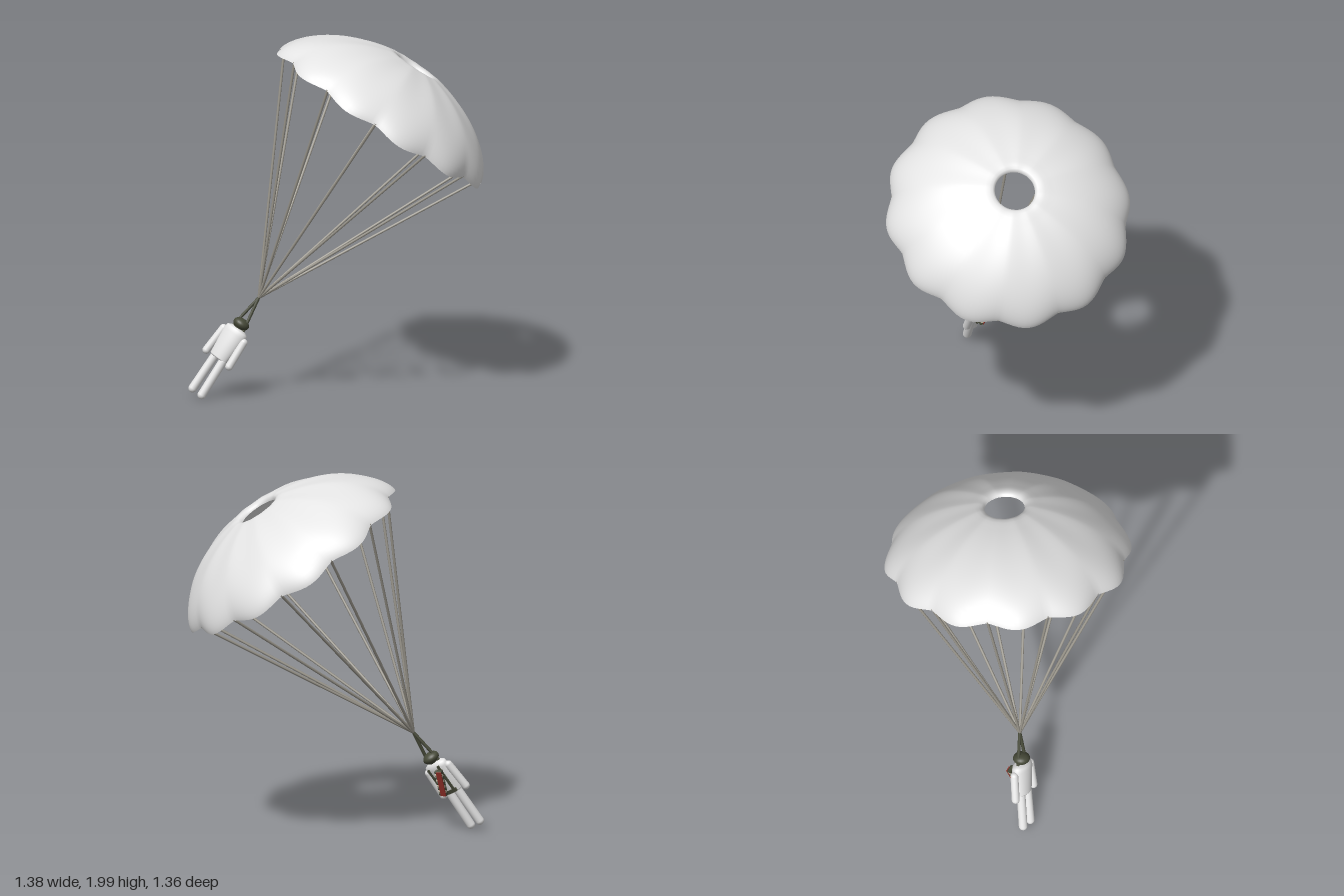
import * as THREE from 'three';
import { mergeVertices } from 'three/addons/utils/BufferGeometryUtils.js';

const GORES = 12;
const RIM_Y = 1.205; // rim height above the point where the lines meet
const RIM_R = 0.645;
const FIRST = THREE.MathUtils.degToRad(5);

function material(name, color, side = THREE.FrontSide) {
  const m = new THREE.MeshStandardMaterial({ color, side });
  m.name = name;
  return m;
}

export function createModel() {
  const fabric = material('pale fabric', 0xe4e4e4, THREE.DoubleSide);
  const cord = material('cord', 0x98948a);
  const olive = material('dark olive', 0x474a39);
  const red = material('red', 0x96322a);
  const tan = material('pale tan', 0xb9b29c);

  const model = new THREE.Group();
  model.name = 'parachutist';
  // Everything hangs along one leaning axis; the origin is where the lines meet.
  const rig = new THREE.Group();
  rig.name = 'leaningRig';
  const up = new THREE.Vector3(0.397, 0.827, -0.397).normalize();
  const side = new THREE.Vector3(up.y, -up.x, 0).normalize();
  const front = new THREE.Vector3().crossVectors(side, up);
  rig.applyMatrix4(new THREE.Matrix4().makeBasis(side, up, front).setPosition(-0.4, 0.55, 0.42));
  model.add(rig);

  const V = (x, y, z = 0) => new THREE.Vector3(x, y, z);
  function add(name, geometry, mat, parent = rig) {
    const mesh = new THREE.Mesh(geometry, mat);
    mesh.name = name;
    parent.add(mesh);
    return mesh;
  }
  // Places a y-aligned part between two points.
  function span(mesh, a, b) {
    mesh.position.copy(a).add(b).multiplyScalar(0.5);
    mesh.quaternion.setFromUnitVectors(V(0, 1), b.clone().sub(a).normalize());
    return mesh;
  }
  const rod = (name, a, b, r, mat, sides = 8) =>
    span(add(name, new THREE.CylinderGeometry(r, r, a.distanceTo(b), sides), mat), a, b);
  const limb = (name, a, b, r) =>
    span(add(name, new THREE.CapsuleGeometry(r, a.distanceTo(b), 6, 16), fabric), a, b);

  // Canopy: full dome with a dimpled vent, its gores bulging and drooping between the lines
  const profile = [];
  for (let i = 0; i <= 22; i++) {
    const r = THREE.MathUtils.lerp(RIM_R, 0.19, 1 - Math.cos((i / 22) * Math.PI / 2));
    profile.push(new THREE.Vector2(r, 0.345 * Math.max(0, 1 - (r / RIM_R) ** 2) ** 0.62));
  }
  for (const [r, y] of [[0.165, 0.332], [0.142, 0.334], [0.124, 0.33], [0.113, 0.321], [0.11, 0.308]])
    profile.push(new THREE.Vector2(r, y));
  let canopy = new THREE.LatheGeometry(profile, 144);
  const p = canopy.attributes.position;
  for (let i = 0; i < p.count; i++) {
    const x = p.getX(i), z = p.getZ(i);
    const wave = Math.abs(Math.sin((Math.atan2(z, x) - FIRST) * GORES / 2));
    const lobe = 0.5 * (wave + wave * wave) * (Math.hypot(x, z) / RIM_R) ** 2;
    const k = 1 + 0.052 * lobe;
    p.setXYZ(i, x * k, p.getY(i) - 0.025 * lobe, z * k);
  }
  canopy.deleteAttribute('uv');
  canopy.deleteAttribute('normal');
  canopy = mergeVertices(canopy, 1e-5);
  canopy.computeVertexNormals();
  add('canopy', canopy, fabric).position.y = RIM_Y;

  // Suspension lines
  for (let i = 0; i < GORES; i++) {
    const t = FIRST + (i * 2 * Math.PI) / GORES;
    const r = RIM_R - 0.004;
    rod('suspensionLine', V(0, 0), V(Math.cos(t) * r, RIM_Y + 0.008, Math.sin(t) * r), 0.0075, cord);
  }

  // Torso with rounded shoulders
  const torsoProfile = [[0, -0.4], [0.05, -0.4], [0.058, -0.393], [0.066, -0.31], [0.074, -0.235],
    [0.068, -0.212], [0.045, -0.2], [0, -0.197]].map(([x, y]) => new THREE.Vector2(x, y));
  add('torso', new THREE.LatheGeometry(torsoProfile, 32), fabric).scale.z = 0.6;

  // Head under a broad helmet
  add('head', new THREE.SphereGeometry(0.03, 20, 14), olive).position.y = -0.19;
  const helmet = add('helmet', new THREE.SphereGeometry(0.047, 24, 16), olive);
  helmet.scale.y = 0.66;
  helmet.position.y = -0.172;

  // Limbs, risers and shoulder straps on both sides
  for (const s of [-1, 1]) {
    limb('arm', V(s * 0.075, -0.248), V(s * 0.085, -0.4, 0.005), 0.022);
    limb('leg', V(s * 0.03 + 0.004, -0.4), V(s * 0.034 + 0.007, -0.615), 0.024);
    rod('riser', V(0, 0), V(s * 0.038, -0.215), 0.009, olive);
    const strap = add('shoulderStrap', new THREE.BoxGeometry(0.014, 0.17, 0.008), olive);
    strap.position.set(s * 0.035, -0.305, -0.039);
  }

  // Back harness: belt and a slanted pack of dark and pale rolls under a red panel
  const belt = add('belt', new THREE.BoxGeometry(0.095, 0.02, 0.012), olive);
  belt.position.set(0, -0.385, -0.034);
  const pack = new THREE.Group();
  pack.name = 'backPack';
  pack.position.set(-0.002, -0.312, -0.048);
  pack.rotation.z = 0.45;
  rig.add(pack);
  add('packPlate', new THREE.BoxGeometry(0.034, 0.155, 0.016), olive, pack);
  for (let i = 0; i < 9; i++) {
    const roll = add('packRoll', new THREE.CylinderGeometry(0.01, 0.01, 0.042, 10), i % 2 ? tan : olive, pack);
    roll.rotation.z = Math.PI / 2;
    roll.position.set(0.002, -0.068 + i * 0.017, -0.01);
  }
  add('redPanel', new THREE.BoxGeometry(0.03, 0.148, 0.008), red, pack).position.set(-0.004, 0, -0.02);
  return model;
}
